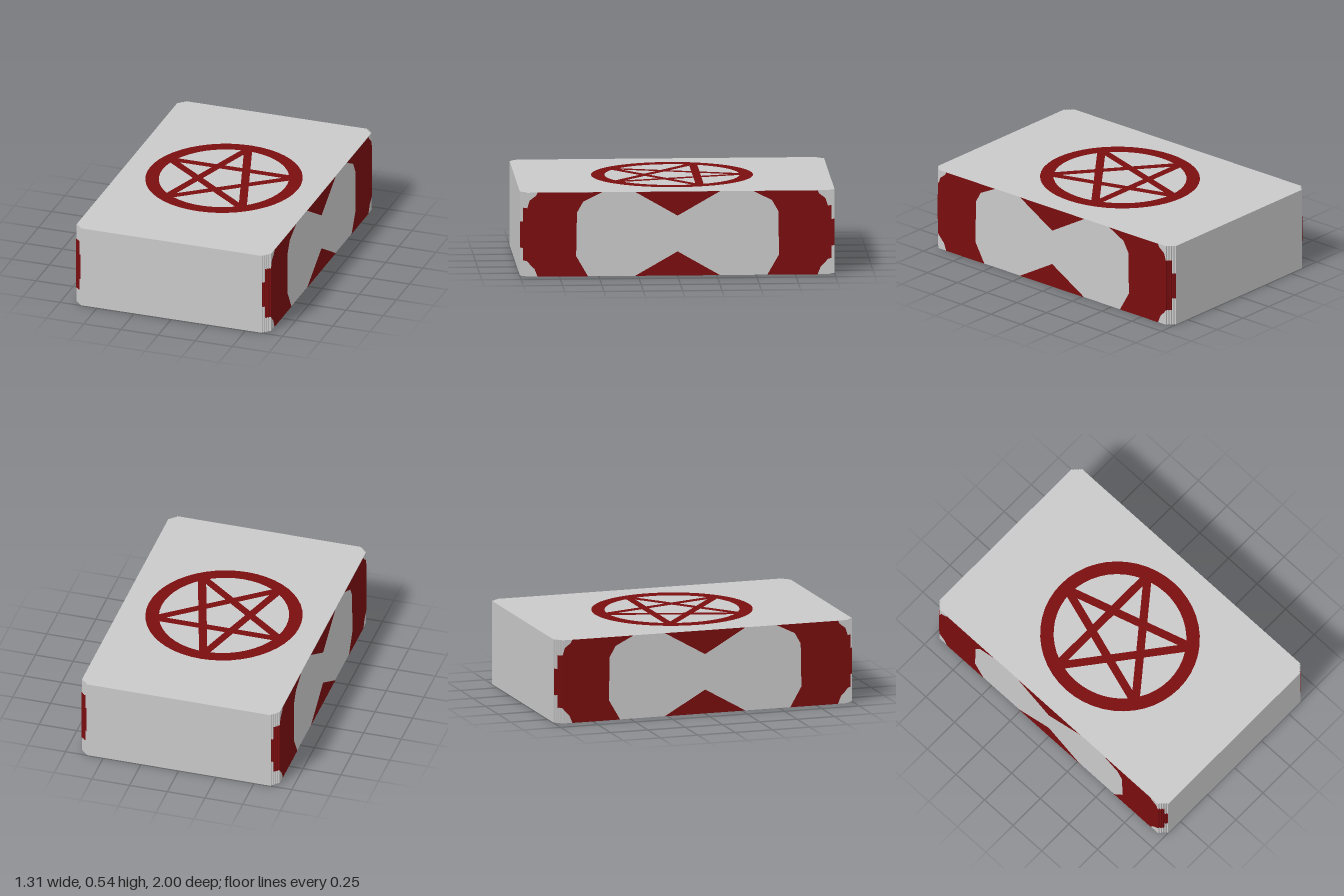
import * as THREE from 'three';

const W = 0.655, H = 0.54, STEP = 0.011, STEPS = 4, EPS = 0.002;

export function createModel() {
  const group = new THREE.Group();
  group.name = 'decoratedBox';
  const grey = new THREE.MeshStandardMaterial({ color: 0xc9c9c9 });
  grey.name = 'light grey';
  const red = new THREE.MeshStandardMaterial({ color: 0x7a0d0f });
  red.name = 'dark red';

  const add = (name, geometry, material) => {
    const mesh = new THREE.Mesh(geometry, material);
    mesh.name = name;
    group.add(mesh);
    return mesh;
  };
  const toShape = (pts) => new THREE.Shape(pts.map(([x, y]) => new THREE.Vector2(x, y)));

  // Body: block whose four upright corners are cut in small steps
  const corner = [];
  for (let i = 0; i <= STEPS; i++) {
    const x = W - STEP * i, z = 1 - STEP * (STEPS - i);
    if (i > 0) corner.push([x, z - STEP]);
    corner.push([x, z]);
  }
  const back = [...corner].reverse();
  const plan = [
    ...corner,
    ...back.map(([x, z]) => [-x, z]),
    ...corner.map(([x, z]) => [-x, -z]),
    ...back.map(([x, z]) => [x, -z]),
  ];
  const body = new THREE.ExtrudeGeometry(toShape(plan), { depth: H, bevelEnabled: false });
  add('body', body.rotateX(-Math.PI / 2), grey);

  // Painted ring on the top
  const ring = new THREE.Shape().absellipse(0, 0, 0.498, 0.515, 0, Math.PI * 2);
  ring.holes.push(new THREE.Path().absellipse(0, 0, 0.412, 0.43, 0, Math.PI * 2));
  const onTop = (shape) => new THREE.ShapeGeometry(shape, 24).rotateX(-Math.PI / 2).translate(0, H + EPS, 0);
  add('topRing', onTop(ring), red);

  // Painted star: five strokes between points given as (x, z)
  const tips = [[0, -0.46], [0.26, 0.38], [-0.42, -0.155], [0.42, -0.155], [-0.26, 0.38]];
  tips.forEach((a, i) => {
    const b = tips[(i + 1) % 5];
    const dx = b[0] - a[0], dz = b[1] - a[1], k = 0.026 / Math.hypot(dx, dz);
    const nx = -dz * k, nz = dx * k;
    const quad = [[a[0] + nx, a[1] + nz], [b[0] + nx, b[1] + nz], [b[0] - nx, b[1] - nz], [a[0] - nx, a[1] - nz]];
    add('starStroke', onTop(toShape(quad.map(([x, z]) => [x, -z]))), red);
  });

  // Painted side patches, as (z, y), mirrored in z and on both sides
  const endPatch = [
    [0.48, H], [0.6, 0.48], [0.64, 0.41], [0.645, 0.13], [0.57, 0],
    [0.89, 0], [0.91, 0.05], [0.94, 0.08], [0.956, 0.1], [0.956, 0.44], [0.94, 0.49], [0.9, 0.52], [0.89, H],
  ];
  const sidePatches = [
    endPatch,
    endPatch.map(([z, y]) => [-z, y]),
    [[-0.27, H], [0, 0.385], [0.27, H]],
    [[-0.27, 0], [0, 0.155], [0.27, 0]],
  ];
  for (const s of [1, -1]) {
    for (const pts of sidePatches) {
      const geo = new THREE.ShapeGeometry(toShape(pts)).rotateY(s * Math.PI / 2).translate(s * (W + EPS), 0, 0);
      add('sidePatch', geo, red);
    }
    // Paint continuing round the stepped corners
    for (const f of [1, -1]) {
      for (let i = 0; i <= STEPS; i++) {
        const [y0, y1] = i < 3 ? [0.1, 0.44] : [0.18, 0.35];
        const x = W - STEP * i + EPS, z = Math.min(1 - STEP * (STEPS - i) + EPS, 0.999);
        const box = new THREE.BoxGeometry(STEP, y1 - y0, STEP);
        box.translate(s * (x - STEP / 2), (y0 + y1) / 2, f * (z - STEP / 2));
        add('cornerPaint', box, red);
      }
    }
  }

  // Painted bands and triangles on the underside, as (x, z)
  const underside = [
    [[0.474, 0.895], [-W, -0.89], [-W, -0.75], [-0.005, 0.495], [-W, 0.55], [-W, 0.905]],
    [[-0.286, 0.27], [-W, -0.31], [-W, 0.06], [-0.4, 0.25]],
    [[W, 0.93], [0.385, -0.47], [W, -0.89], [W, -0.57], [0.48, -0.29], [W, 0.57]],
    [[W, 0.26], [0.61, -0.18], [W, -0.26]],
  ];
  for (const pts of underside) {
    add('undersidePaint', new THREE.ShapeGeometry(toShape(pts)).rotateX(Math.PI / 2).translate(0, -EPS, 0), red);
  }

  return group;
}
